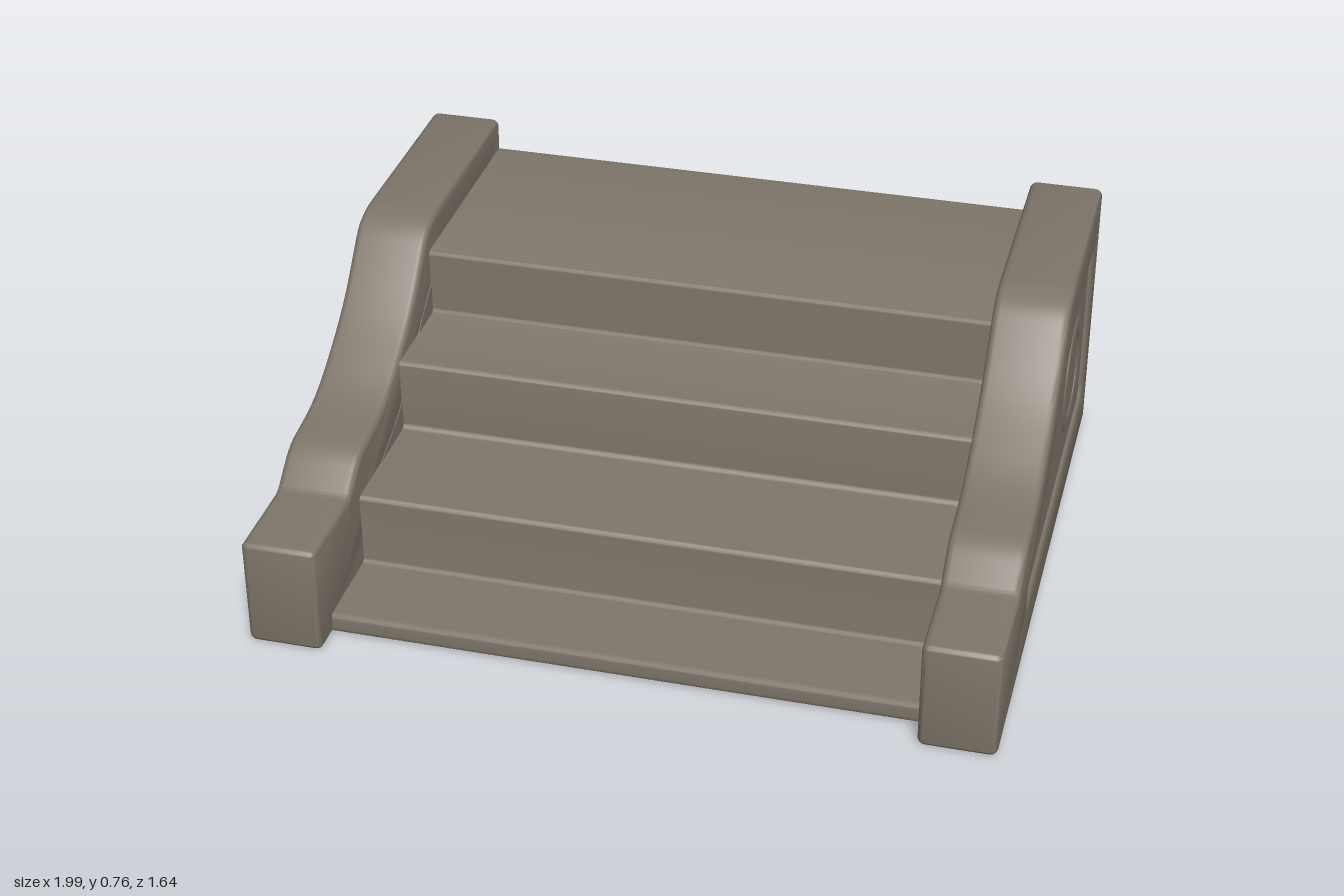
import * as THREE from 'three';
import { toCreasedNormals } from 'three/addons/utils/BufferGeometryUtils.js';

// Closed outline from [z, y, corner radius] points
function outline(points, Type = THREE.Shape) {
  const path = new Type();
  const n = points.length;
  const toward = (a, b) => {
    const p = new THREE.Vector2(a[0], a[1]);
    const d = new THREE.Vector2(b[0], b[1]).sub(p);
    return p.addScaledVector(d.normalize(), a[2]);
  };
  points.forEach((p, i) => {
    const start = toward(p, points[(i + n - 1) % n]);
    const end = toward(p, points[(i + 1) % n]);
    if (i === 0) path.moveTo(start.x, start.y);
    else path.lineTo(start.x, start.y);
    path.quadraticCurveTo(p[0], p[1], end.x, end.y);
  });
  path.closePath();
  return path;
}

// Extrude a z-y outline across x, from xMin to xMax
function extrudeAcross(shape, xMin, xMax, bevel) {
  const t = bevel.bevelThickness;
  const geo = new THREE.ExtrudeGeometry(shape, {
    depth: xMax - xMin - 2 * t, curveSegments: 6, bevelEnabled: true, ...bevel,
  });
  geo.rotateY(-Math.PI / 2);
  geo.translate(xMax - t, 0, 0);
  return toCreasedNormals(geo, 0.7);
}

export function createModel() {
  const group = new THREE.Group();
  const stone = new THREE.MeshStandardMaterial({ color: 0x7e7569 });
  stone.name = 'warm grey stone';
  const add = (name, geo) => {
    const mesh = new THREE.Mesh(geo, stone);
    mesh.name = name;
    group.add(mesh);
    return mesh;
  };

  // Flight of steps with a deep landing
  const r = 0.014;
  const steps = outline([
    [-0.81, 0.005, r], [-0.81, 0.672, r], [-0.155, 0.672, r], [-0.155, 0.478, r],
    [0.13, 0.478, r], [0.13, 0.27, r], [0.487, 0.27, r], [0.487, 0.062, r],
    [0.74, 0.062, r], [0.74, 0.005, r],
  ]);
  add('steps', extrudeAcross(steps, -0.81, 0.81,
    { bevelThickness: 0.001, bevelSize: 0, bevelOffset: 0, bevelSegments: 1 }));

  // Swept side wall profile and its sunken panel
  const wallPoints = [
    [0.822, 0, 0.018], [0.822, 0.31, 0.018], [0.56, 0.31, 0.015], [0.455, 0.392, 0.045],
    [0.25, 0.415, 0.1], [0.01, 0.56, 0.11], [-0.15, 0.74, 0.045], [-0.23, 0.76, 0.03],
    [-0.822, 0.76, 0.018], [-0.822, 0, 0.018],
  ];
  const panelPoints = [
    [0.38, 0.15, 0.02], [0.38, 0.215, 0.03], [0.14, 0.3, 0.09], [-0.14, 0.53, 0.12],
    [-0.32, 0.625, 0.09], [-0.69, 0.625, 0.03], [-0.69, 0.15, 0.03],
  ];
  const wall = outline(wallPoints);
  wall.holes.push(outline(panelPoints, THREE.Path));
  const rounded = { bevelThickness: 0.02, bevelSize: 0.02, bevelOffset: -0.02, bevelSegments: 4 };
  const infill = { bevelThickness: 0.001, bevelSize: 0, bevelOffset: 0.03, bevelSegments: 1 };

  for (const side of [1, -1]) {
    const label = side > 0 ? 'left' : 'right';
    const span = (inner, outer) => (side > 0 ? [inner, outer] : [-outer, -inner]);
    add(label + 'SideWall', extrudeAcross(wall, ...span(0.79, 0.995), rounded));
    add(label + 'SunkenPanel', extrudeAcross(outline(panelPoints), ...span(0.788, 0.984), infill));

    // Faint worn ring carved on the panel
    const ring = add(label + 'PanelRing', new THREE.TorusGeometry(0.14, 0.025, 8, 40));
    ring.scale.z = 0.2;
    ring.rotation.y = Math.PI / 2;
    ring.position.set(side * 0.984, 0.37, -0.44);
  }
  return group;
}
